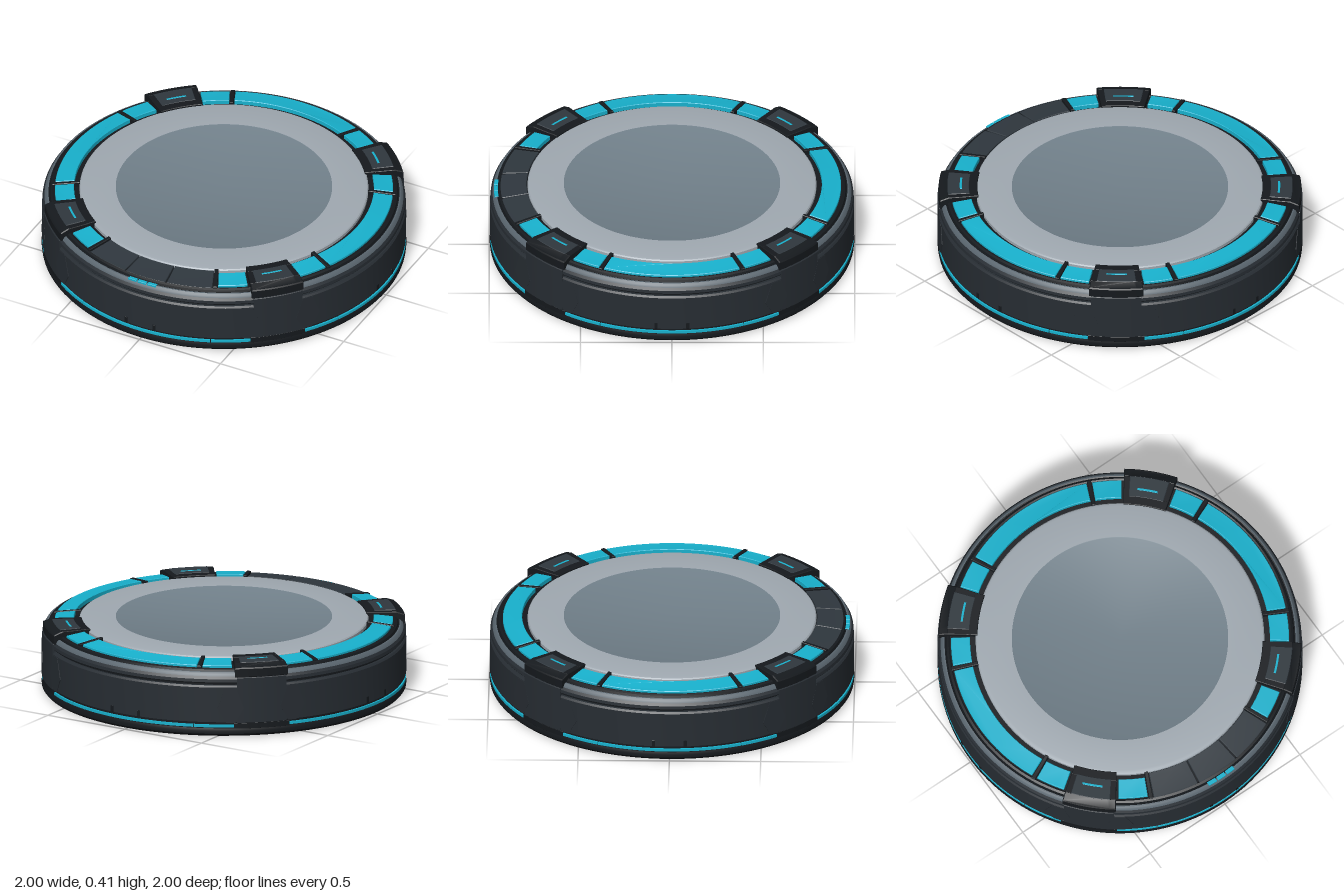
import * as THREE from 'three';
import { toCreasedNormals } from 'three/addons/utils/BufferGeometryUtils.js';

const mat = (color) => new THREE.MeshStandardMaterial({ color });
const M = {
  black: mat(0x15191d), dark: mat(0x272d33), panel: mat(0x2f373e), rim: mat(0x59656e),
  silver: mat(0xa0a9b1), disc: mat(0x71808a), cyan: mat(0x18b1cd),
};
const rad = THREE.MathUtils.degToRad;

export function createModel() {
  const root = new THREE.Group();

  const add = (name, geo, material, parent = root) => {
    const mesh = new THREE.Mesh(geo, material);
    mesh.name = name;
    parent.add(mesh);
    return mesh;
  };

  // Turned part from [radius, height] pairs listed bottom to top on the outside
  const turned = (name, pts, material) => {
    const geo = new THREE.LatheGeometry(pts.map(([r, y]) => new THREE.Vector2(r, y)), 128);
    return add(name, toCreasedNormals(geo, rad(25)), material);
  };

  // Ring sector centred on angle a (degrees from +x towards the back),
  // its top falling outwards by slope beyond radius r0
  const sector = (name, r0, r1, y0, y1, a, half, material, { slope = 0, bevel = 0.003, parent = root } = {}) => {
    const b = bevel, h = rad(half), c = rad(a), trim = b / r1;
    const s = new THREE.Shape();
    s.absarc(0, 0, r1 - b, c - h + trim, c + h - trim, false);
    s.absarc(0, 0, r0 + b, c + h - trim, c - h + trim, true);
    s.closePath();
    const geo = new THREE.ExtrudeGeometry(s, {
      depth: y1 - y0 - 2 * b, curveSegments: Math.max(6, Math.ceil(half)),
      bevelEnabled: b > 0, bevelSize: b, bevelThickness: b, bevelSegments: 1,
    });
    geo.translate(0, 0, y0 + b).rotateX(-Math.PI / 2);
    const p = geo.attributes.position;
    for (let i = 0; i < p.count; i++) {
      if (p.getY(i) < (y0 + y1) / 2) continue;
      p.setY(i, p.getY(i) - slope * Math.max(0, Math.hypot(p.getX(i), p.getZ(i)) - r0));
    }
    geo.deleteAttribute('normal');
    geo.computeVertexNormals();
    return add(name, toCreasedNormals(geo, rad(25)), material, parent);
  };

  // Base, side wall and stepped shoulder
  turned('base', [[0, 0], [0.965, 0], [0.985, 0.005], [0.996, 0.018], [0.998, 0.035], [0.994, 0.05], [0.98, 0.053]], M.black);
  turned('baseGroove', [[0.986, 0.045], [0.986, 0.085]], M.black);
  turned('sideWall', [[0.98, 0.074], [0.99, 0.075], [0.996, 0.085], [0.996, 0.282], [0.988, 0.292], [0.972, 0.292]], M.dark);
  turned('shoulderGroove', [[0.974, 0.285], [0.974, 0.315]], M.black);
  turned('shoulder', [[0.97, 0.304], [0.988, 0.304], [0.994, 0.311], [0.992, 0.328], [0.982, 0.342]], M.dark);
  turned('rimBand', [[0.982, 0.342], [0.977, 0.353], [0.967, 0.362], [0.96, 0.363]], M.rim);
  turned('track', [[0.96, 0.363], [0.954, 0.36], [0.95, 0.372], [0.938, 0.378], [0.93, 0.374], [0.75, 0.374]], M.black);

  // Silver top plate and inset disc
  turned('topRing', [[0.79, 0.37], [0.79, 0.391], [0.784, 0.397], [0.768, 0.401], [0.592, 0.4]], M.silver);
  turned('centreDisc', [[0.592, 0.4], [0.588, 0.3985], [0, 0.3985]], M.disc);

  // Four quarters of lit segments; the front quarter has dark control panels
  for (const [side, a] of [['left', 0], ['back', 90], ['right', 180], ['front', 270]]) {
    const g = new THREE.Group();
    g.name = side + 'Quarter';
    root.add(g);
    const o = { slope: 0.12, parent: g };
    if (side === 'front') {
      for (const [da, half] of [[-15.8, 7.8], [0, 7.4], [15.8, 7.8]]) {
        sector('controlPanel', 0.795, 0.94, 0.36, 0.396, a + da, half, M.panel, o);
      }
    } else {
      sector('longLight', 0.82, 0.925, 0.36, 0.4, a, 23.6, M.cyan, o);
    }
    for (const s of [-1, 1]) {
      sector('shortLight', 0.82, 0.925, 0.36, 0.4, a + s * 30.6, 5, M.cyan, o);
      sector('divider', 0.79, 0.94, 0.36, 0.405, a + s * 24.6, 0.7, M.black, o);
      sector('baseLightEnd', 0.97, 0.996, 0.055, 0.07, a + s * 29.7, 6.3, M.cyan, { bevel: 0, parent: g });
      // Small service notches low on the wall
      sector('wallNotch', 0.98, 0.999, 0.085, 0.12, a + s * 5, 0.5, M.black, { bevel: 0.001, parent: g });
    }
    sector('baseLight', 0.97, 0.996, 0.055, 0.07, a, 23.1, M.cyan, { bevel: 0, parent: g });
  }

  // Flat six-sided plate standing on the wall
  const hex = new THREE.Shape([
    [-0.025, 0.082], [0.025, 0.082], [0.072, 0.165], [0.03, 0.278], [-0.03, 0.278], [-0.072, 0.165],
  ].map(([x, y]) => new THREE.Vector2(x, y)));
  const hexGeo = new THREE.ExtrudeGeometry(hex, { depth: 0.02, bevelEnabled: false });
  hexGeo.translate(0, 0, 0.9775);

  // Four clamps with the wall plates below them
  for (const a of [45, 135, 225, 315]) {
    const g = new THREE.Group();
    g.name = 'clamp';
    root.add(g);
    const o = { parent: g };
    sector('clampInnerEnd', 0.78, 0.835, 0.36, 0.408, a, 8.6, M.black, o);
    sector('clampBody', 0.83, 0.945, 0.36, 0.407, a, 8.6, M.black, o);
    sector('clampPanel', 0.825, 0.945, 0.38, 0.41, a, 6.6, M.panel, o);
    sector('clampOuterEnd', 0.94, 0.993, 0.336, 0.409, a, 8.6, M.black, { parent: g, slope: 0.35, bevel: 0.005 });
    sector('clampColumn', 0.96, 0.998, 0.078, 0.338, a, 8, M.dark, o);
    sector('columnFoot', 0.96, 0.995, 0.045, 0.08, a, 9, M.black, o);
    sector('clampLight', 0.865, 0.877, 0.4, 0.4115, a, 3.7, M.cyan, { bevel: 0.001, parent: g });
    for (const s of [-1, 1]) {
      add('wallPlate', hexGeo, M.dark, g).rotation.y = rad(a + s * 10 + 90);
    }
  }

  // Three indicator lights on the front shoulder
  for (const da of [-3.5, 0, 3.5]) {
    sector('indicatorLight', 0.952, 0.974, 0.344, 0.367, 270 + da, 1.55, M.cyan, { bevel: 0.002 });
  }

  return root;
}
